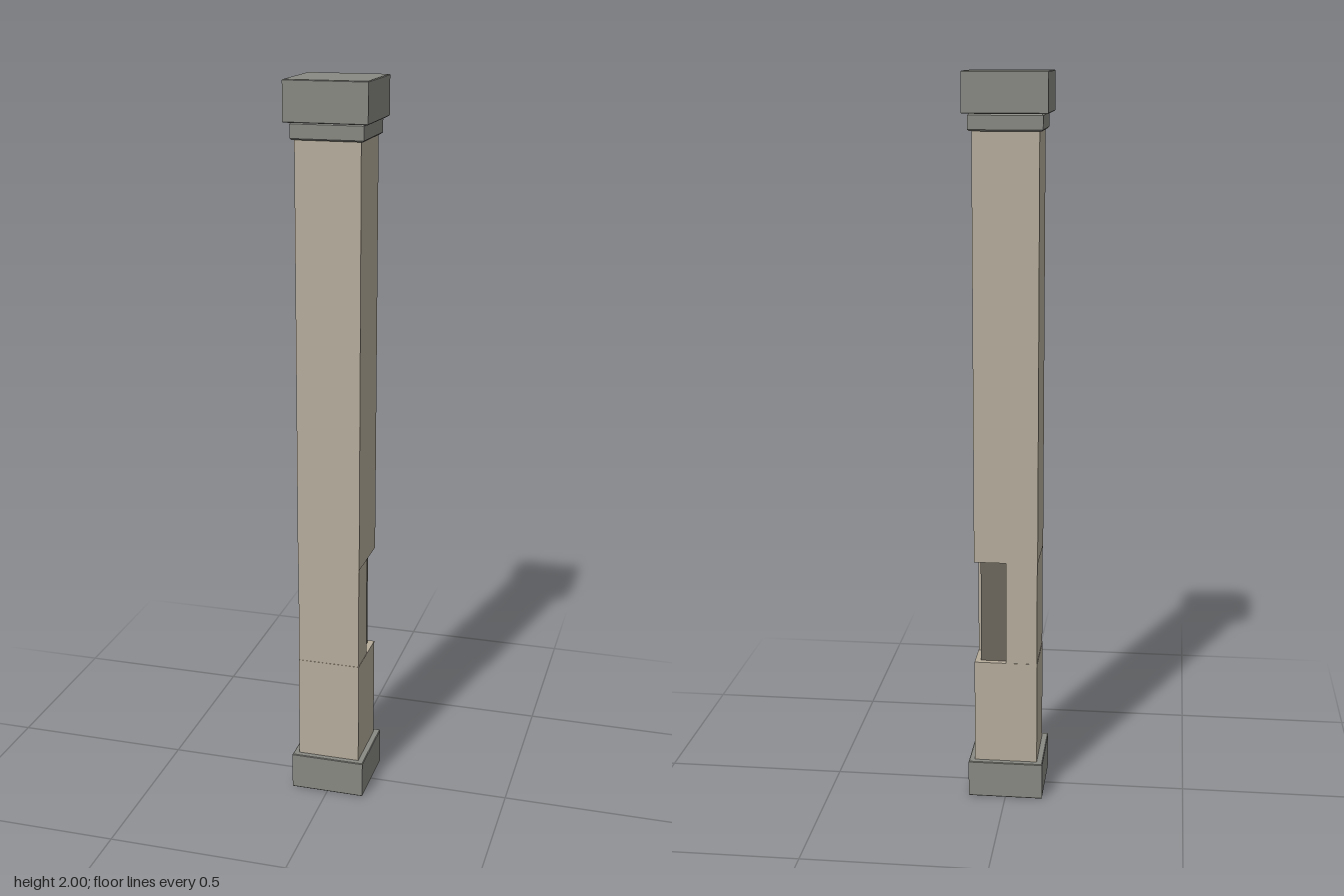
import * as THREE from 'three';

const stone = new THREE.MeshStandardMaterial({ color: 0xb6ac9b });
stone.name = 'paleStone';
const grey = new THREE.MeshStandardMaterial({ color: 0x888983 });
grey.name = 'greyTrim';
const dark = new THREE.MeshStandardMaterial({ color: 0x6d685d });
dark.name = 'darkCore';

// Upright prism from a plan outline [x, z], with an optional chamfer on all edges
function prism(name, outline, y0, y1, material, chamfer = 0) {
  const shape = new THREE.Shape(outline.map(([x, z]) => new THREE.Vector2(x, -z)));
  const geometry = new THREE.ExtrudeGeometry(shape, {
    depth: y1 - y0 - 2 * chamfer,
    bevelEnabled: chamfer > 0,
    bevelThickness: chamfer,
    bevelSize: chamfer,
    bevelOffset: -chamfer,
    bevelSegments: 1,
  });
  geometry.rotateX(-Math.PI / 2);
  const mesh = new THREE.Mesh(geometry, material);
  mesh.position.y = y0 + chamfer;
  mesh.name = name;
  return mesh;
}

const square = (h) => [[-h, h], [h, h], [h, -h], [-h, -h]];

export function createModel() {
  const group = new THREE.Group();
  group.name = 'pillar';
  const h = 0.0875; // half width of the shaft
  const m = 0.0865; // half width of the notched section
  const core = 0.071; // reach of the recessed core

  group.add(
    prism('base', square(0.104), 0, 0.105, grey, 0.002),
    prism('lowerShaft', square(h), 0.1, 0.4, stone),
    // Middle section with its back left quarter cut away
    prism('notchedShaft', [[-m, m], [m, m], [m, 0], [0, 0], [0, -m], [-m, -m]], 0.4, 0.693, stone),
    // Dark core set back inside the cut corner
    prism('recessedCore', [[0, 0], [core, 0], [core, -core], [0, -core]], 0.4, 0.693, dark),
    prism('upperShaft', square(h), 0.693, 1.86, stone),
    prism('neckMoulding', square(0.097), 1.85, 1.894, grey, 0.004),
    prism('capital', square(0.111), 1.894, 2, grey, 0.002),
  );
  return group;
}
